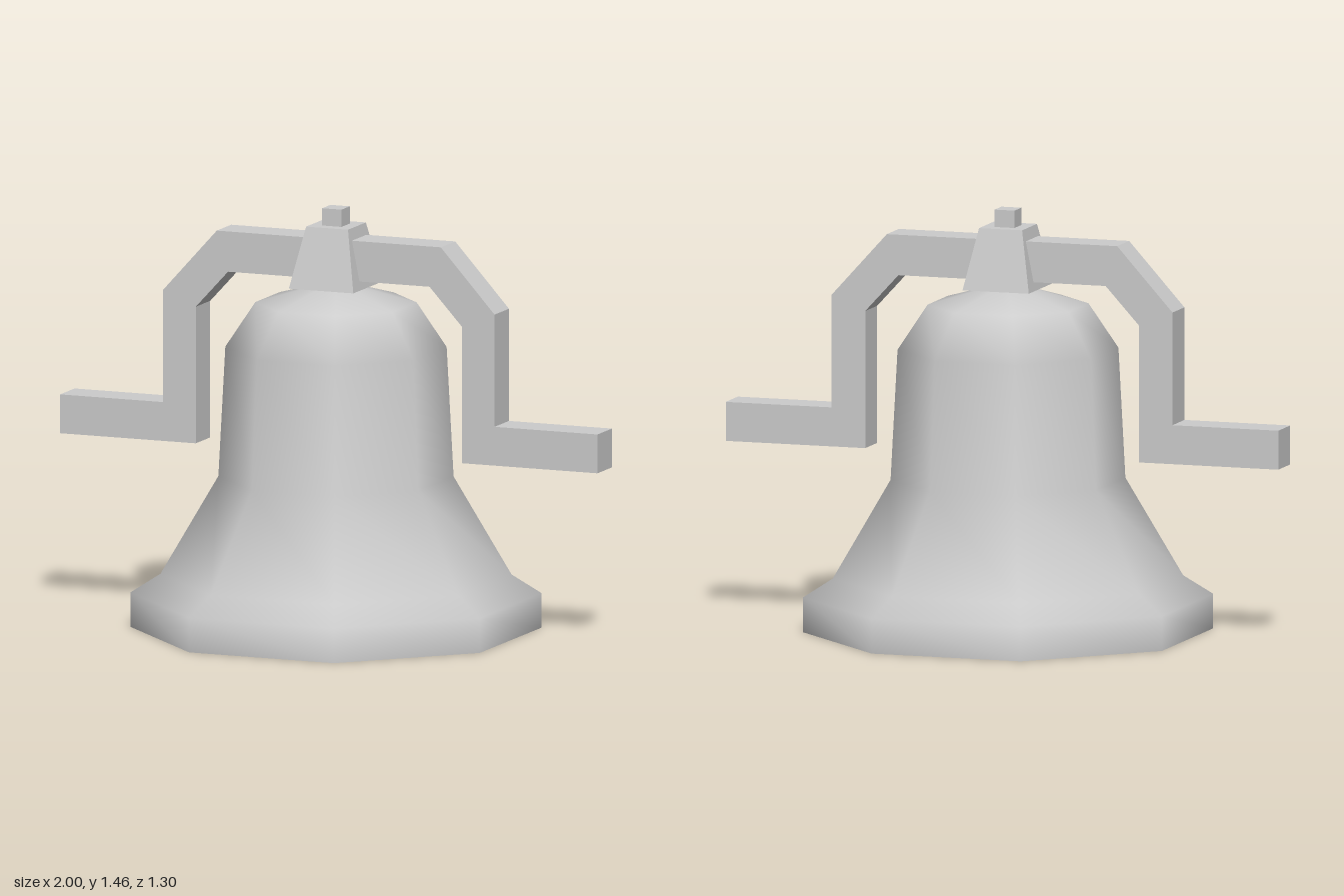
import * as THREE from 'three';

const material = new THREE.MeshStandardMaterial({ color: 0xcccccc });

function addPart(group, name, geometry) {
  const mesh = new THREE.Mesh(geometry, material);
  mesh.name = name;
  group.add(mesh);
  return mesh;
}

// Eight-sided lathe with flats facing the axes; radii are measured to the flats.
function octagonLathe(profile) {
  const k = 1 / Math.cos(Math.PI / 8);
  return new THREE.LatheGeometry(profile.map(([r, y]) => new THREE.Vector2(r * k, y)), 8, Math.PI / 8);
}

export function createModel() {
  const model = new THREE.Group();
  model.name = 'bell';

  // Bell body: smooth outside, flat lip underneath, hollow inside
  const body = new THREE.Group();
  body.name = 'bellBody';
  model.add(body);
  addPart(body, 'bellOuter', octagonLathe([
    [0.65, 0], [0.65, 0.12], [0.555, 0.185], [0.372, 0.525],
    [0.35, 0.975], [0.255, 1.13], [0.06, 1.19], [0, 1.19],
  ]));
  addPart(body, 'bellLip', octagonLathe([[0.56, 0], [0.65, 0]]));
  addPart(body, 'bellInner', octagonLathe([
    [0, 1.1], [0.2, 1.06], [0.29, 0.94], [0.31, 0.525], [0.56, 0],
  ]));

  // Yoke: cranked bar, outlined for one side and mirrored
  const top = [[0.417, 1.36], [0.617, 1.14], [0.617, 0.75], [1, 0.75]];
  const under = [[1, 0.615], [0.495, 0.615], [0.495, 1.09], [0.375, 1.22]];
  const half = [...top, ...under];
  const mirrored = half.map(([x, y]) => [-x, y]).reverse();
  const outline = new THREE.Shape([...half, ...mirrored].map(([x, y]) => new THREE.Vector2(x, y)));
  const yoke = new THREE.ExtrudeGeometry(outline, { depth: 0.126, bevelEnabled: false });
  yoke.translate(0, 0, -0.063);
  addPart(model, 'yoke', yoke);

  // Mount: tapered block over the crown
  const mount = new THREE.BoxGeometry(0.24, 0.21, 0.26);
  const p = mount.attributes.position;
  for (let i = 0; i < p.count; i++) {
    if (p.getY(i) > 0) {
      p.setX(i, Math.sign(p.getX(i)) * 0.078);
      p.setZ(i, Math.sign(p.getZ(i)) * 0.078);
    }
  }
  mount.computeVertexNormals();
  addPart(model, 'mount', mount).position.y = 1.295;

  // Bolt head on top of the mount
  addPart(model, 'topBolt', new THREE.BoxGeometry(0.072, 0.08, 0.072)).position.y = 1.42;

  return model;
}
